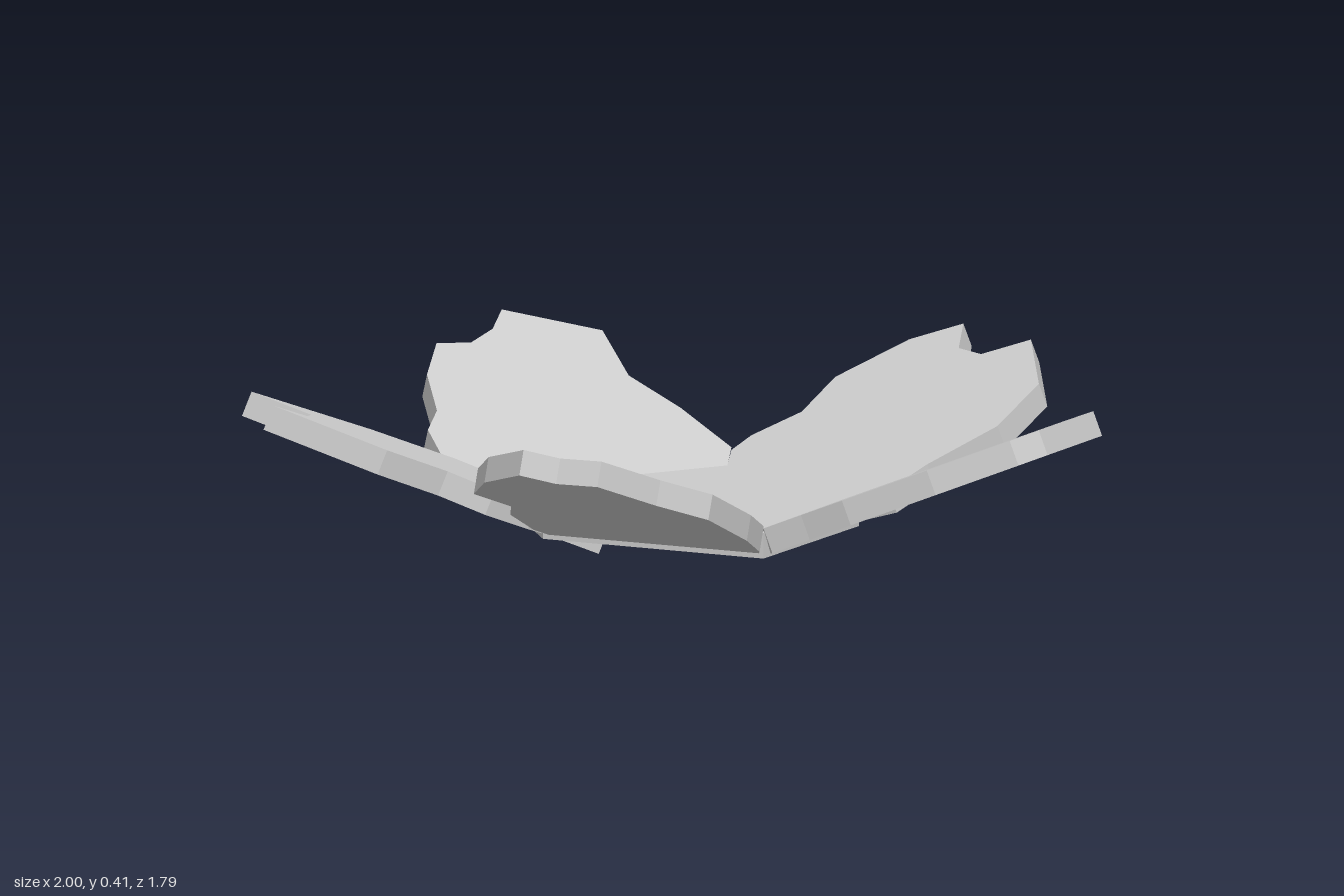
import * as THREE from 'three';

const THICK = 0.06;
const TOP = 0.105; // height of the centre plate's upper face
const TILT = Math.atan(0.41);

// Petal outlines as seen from above, [x, z]; first and last points are the hinge corners.
// root = how far the slab runs inward under the plate.
const PETALS = [
  { name: 'backLeftPetal', root: 0.03, pts: [[0.03, -0.46], [0.03, -0.54], [0.07, -0.59], [0.18, -0.64],
    [0.24, -0.78], [0.40, -0.87], [0.525, -0.87], [0.53, -0.74], [0.59, -0.67], [0.705, -0.67],
    [0.755, -0.41], [0.68, -0.24], [0.53, -0.14], [0.45, -0.06], [0.38, -0.07], [0.34, -0.08]] },
  { name: 'leftPetal', root: 0.03, pts: [[0.34, -0.08], [0.45, -0.06], [0.78, 0.06], [0.88, 0.13],
    [0.975, 0.37], [0.85, 0.375], [0.79, 0.435], [0.60, 0.445], [0.40, 0.41], [0.30, 0.365],
    [0.21, 0.335], [0.20, 0.29]] },
  { name: 'frontPetal', root: 0.03, pts: [[0.20, 0.29], [0.21, 0.33], [0.195, 0.45], [0.13, 0.645],
    [0.02, 0.73], [-0.10, 0.86], [-0.20, 0.82], [-0.28, 0.86], [-0.38, 0.70], [-0.425, 0.53],
    [-0.35, 0.44], [-0.365, 0.33], [-0.33, 0.18], [-0.29, 0.13]] },
  { name: 'rightPetal', root: 0.12, pts: [[-0.29, 0.13], [-0.33, 0.18], [-0.42, 0.25], [-0.53, 0.24],
    [-0.66, 0.32], [-0.92, 0.345], [-0.85, 0.27], [-0.85, 0.20], [-0.985, 0.22], [-0.74, -0.03],
    [-0.56, -0.14], [-0.45, -0.14], [-0.40, -0.16]] },
  { name: 'backRightPetal', root: 0.04, pts: [[-0.40, -0.16], [-0.46, -0.12], [-0.57, -0.14], [-0.64, -0.29],
    [-0.63, -0.38], [-0.67, -0.52], [-0.665, -0.66], [-0.59, -0.70], [-0.55, -0.78], [-0.54, -0.87],
    [-0.31, -0.89], [-0.23, -0.73], [-0.10, -0.65], [0.03, -0.54], [0.03, -0.46]] },
];

function slab(points) {
  const geo = new THREE.ExtrudeGeometry(new THREE.Shape(points), { depth: THICK, bevelEnabled: false });
  return geo.translate(0, 0, -THICK);
}

// Flat slab hinged on the line between its end points and tilted upward
function petalGeometry({ pts, root }) {
  const p = pts.map(([x, z]) => new THREE.Vector3(x, 0, z));
  const a = p[0], b = p[p.length - 1];
  const out = new THREE.Vector3(b.z - a.z, 0, a.x - b.x).normalize();
  p.push(b.clone().addScaledVector(out, -root), a.clone().addScaledVector(out, -root));

  const c = Math.cos(TILT), s = Math.sin(TILT);
  const v = new THREE.Vector3(out.x * c, s, out.z * c);
  const w = new THREE.Vector3(-out.x * s, c, -out.z * s);
  const u = v.clone().cross(w);
  const local = p.map((q) => {
    const r = q.clone().sub(a);
    return new THREE.Vector2(r.dot(u), r.dot(out) / c);
  });
  const m = new THREE.Matrix4().makeBasis(u, v, w).setPosition(a.x, TOP, a.z);
  return slab(local).applyMatrix4(m);
}

export function createModel() {
  const group = new THREE.Group();
  group.name = 'flower';
  const material = new THREE.MeshStandardMaterial({ color: 0xcccccc, flatShading: true });
  const add = (geo, name) => {
    const mesh = new THREE.Mesh(geo, material);
    mesh.name = name;
    group.add(mesh);
  };

  // Five-sided centre plate, its corners reaching a little under the petals
  const corners = [[0.03, -0.50], [0.38, -0.08], [0.21, 0.335], [-0.32, 0.16], [-0.43, -0.16]];
  const plate = slab(corners.map(([x, z]) => new THREE.Vector2(x, -z)));
  add(plate.rotateX(-Math.PI / 2).translate(0, TOP, 0), 'centrePlate');

  for (const petal of PETALS) add(petalGeometry(petal), petal.name);
  return group;
}
